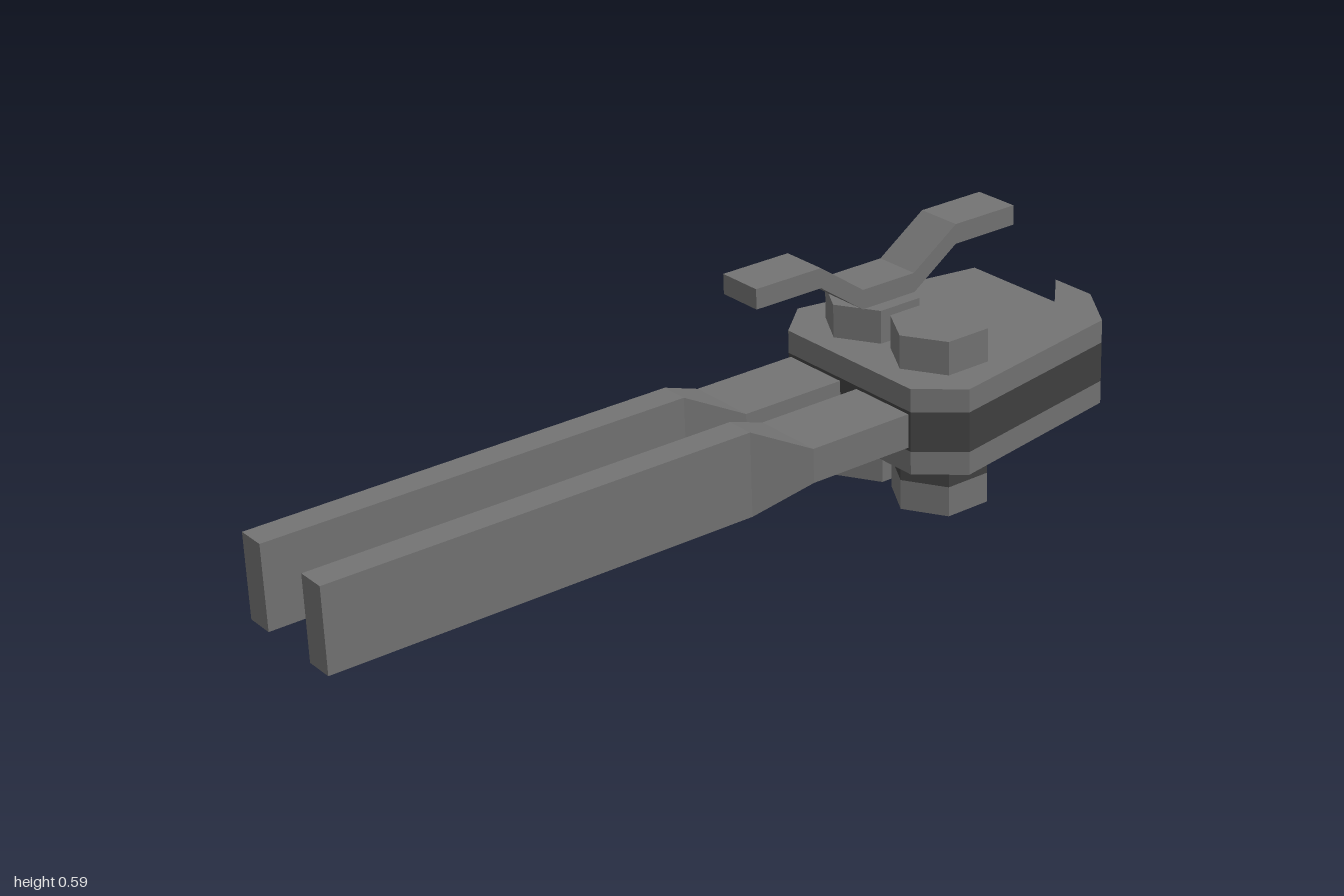
import * as THREE from 'three';

const steel = new THREE.MeshStandardMaterial({ color: 0x727272 });
steel.name = 'steel';
const darkSteel = new THREE.MeshStandardMaterial({ color: 0x404040 });
darkSteel.name = 'darkSteel';
for (const m of [steel, darkSteel]) m.flatShading = true;

function add(parent, name, geometry, material) {
  const mesh = new THREE.Mesh(geometry, material);
  mesh.name = name;
  parent.add(mesh);
  return mesh;
}

// Flat plate from an [x, z] outline, between heights y0 and y1
function plate(outline, y0, y1) {
  const shape = new THREE.Shape(outline.map(([x, z]) => new THREE.Vector2(x, -z)));
  return new THREE.ExtrudeGeometry(shape, { depth: y1 - y0, bevelEnabled: false })
    .rotateX(-Math.PI / 2).translate(0, y0, 0);
}

// Skin over rectangular sections [z, halfWidth, halfHeight], with both ends closed
function loft(sections) {
  const corners = [[-1, -1], [1, -1], [1, 1], [-1, 1]];
  const pos = [], index = [];
  for (const [z, w, h] of sections) for (const [sx, sy] of corners) pos.push(sx * w, sy * h, z);
  for (let s = 0; s < sections.length - 1; s++) {
    for (let i = 0; i < 4; i++) {
      const a = s * 4 + i, b = s * 4 + (i + 1) % 4;
      index.push(a, b, b + 4, a, b + 4, a + 4);
    }
  }
  const e = (sections.length - 1) * 4;
  index.push(0, 2, 1, 0, 3, 2, e, e + 1, e + 2, e, e + 2, e + 3);
  const geometry = new THREE.BufferGeometry();
  geometry.setAttribute('position', new THREE.Float32BufferAttribute(pos, 3));
  geometry.setIndex(index);
  const flat = geometry.toNonIndexed();
  flat.computeVertexNormals();
  return flat;
}

export function createModel() {
  const model = new THREE.Group();
  model.name = 'cutter';
  const tool = new THREE.Group();
  tool.name = 'tool';
  model.add(tool);

  // Head: two cover plates around a dark core, with a hooked jaw at the back
  const outline = [
    [-0.2, -0.375], [0.2, -0.375], [0.28, -0.465], [0.2, -0.912], [0.08, -0.992],
    [-0.03, -0.992], [0.06, -0.905], [-0.2, -0.905], [-0.28, -0.465],
  ];
  add(tool, 'lowerPlate', plate(outline, -0.097, -0.045), steel);
  add(tool, 'headCore', plate(outline, -0.045, 0.045), darkSteel);
  add(tool, 'upperPlate', plate(outline, 0.045, 0.097), steel);

  for (const side of [-1, 1]) {
    const label = side > 0 ? 'left' : 'right';

    // Handle: flat neck turning into an upright bar
    const handle = add(tool, label + 'Handle', loft([
      [-0.45, 0.083, 0.038], [-0.125, 0.083, 0.038], [-0.005, 0.033, 0.094], [0.987, 0.033, 0.094],
    ]), steel);
    handle.position.x = side * 0.11;

    // Hexagonal bolt: head above, shank with a shallow point below
    const bolt = new THREE.Group();
    bolt.name = label + 'Bolt';
    bolt.position.set(side * 0.108, 0, -0.532);
    tool.add(bolt);
    const r = 0.107;
    add(bolt, 'boltHead', new THREE.CylinderGeometry(r, r, 0.08, 6).translate(0, 0.132, 0), steel);
    add(bolt, 'boltCollar', new THREE.CylinderGeometry(r, r, 0.07, 6).translate(0, -0.125, 0), darkSteel);
    add(bolt, 'boltNut', new THREE.CylinderGeometry(r, r, 0.068, 6).translate(0, -0.194, 0), steel);
    add(bolt, 'boltTip', new THREE.ConeGeometry(r, 0.023, 6, 1, true).rotateX(Math.PI).translate(0, -0.2395, 0), steel);
  }

  // Cranked lever lying on one bolt
  const bend = [[-0.175, 0.296], [-0.345, 0.296], [-0.457, 0.216], [-0.597, 0.216], [-0.715, 0.296], [-0.88, 0.296]];
  const profile = [...bend, ...bend.map(([z, y]) => [z, y - 0.045]).reverse()];
  const leverShape = new THREE.Shape(profile.map(([z, y]) => new THREE.Vector2(-z, y)));
  const lever = add(tool, 'lever', new THREE.ExtrudeGeometry(leverShape, { depth: 0.11, bevelEnabled: false })
    .translate(0, 0, -0.055).rotateY(Math.PI / 2), steel);
  lever.position.x = -0.102;

  // The tool rests slightly tilted; centre it and stand it on the ground
  tool.rotation.set(0.085, 0.022, -0.06);
  const box = new THREE.Box3().setFromObject(model, true);
  const centre = box.getCenter(new THREE.Vector3());
  tool.position.set(-centre.x, -box.min.y, -centre.z);
  return model;
}
